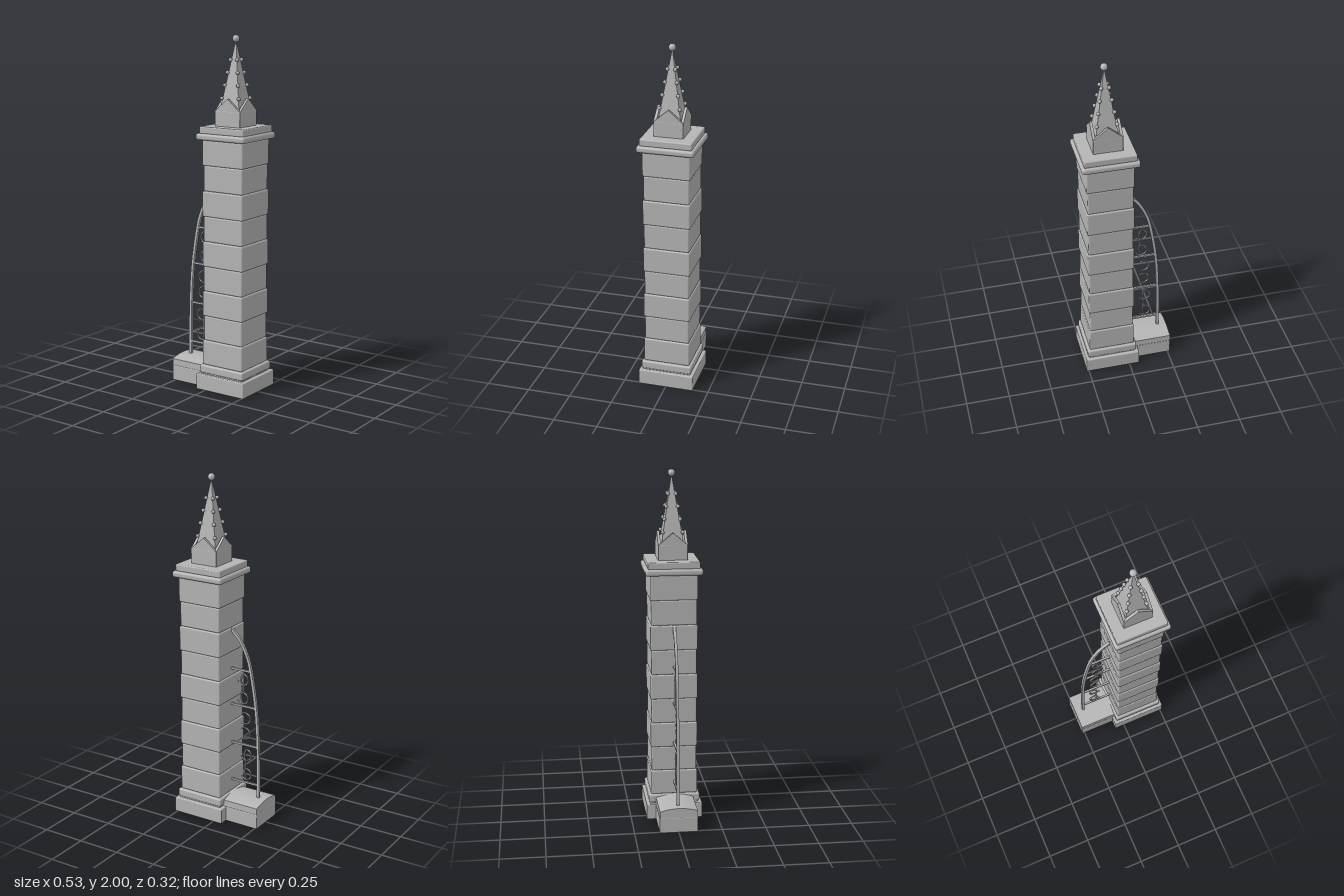
import * as THREE from 'three';
import { RoundedBoxGeometry } from 'three/addons/geometries/RoundedBoxGeometry.js';

const stone = new THREE.MeshStandardMaterial({ color: 0xb4b4b4 });
stone.name = 'greyStone';
const TX = 0.102; // tower axis

function add(parent, name, geometry, x = 0, y = 0, z = 0) {
  const m = new THREE.Mesh(geometry, stone);
  m.name = name;
  m.position.set(x, y, z);
  parent.add(m);
  return m;
}

// Square softened slab centred on the tower axis
function slab(parent, name, half, y0, y1, r) {
  add(parent, name, new RoundedBoxGeometry(half * 2, y1 - y0, half * 2, 2, r), 0, (y0 + y1) / 2, 0);
}

function tube(points, r, segments = 32) {
  const curve = new THREE.CatmullRomCurve3(points.map(([x, y]) => new THREE.Vector3(x, y, 0)));
  return new THREE.TubeGeometry(curve, segments, r, 6, false);
}

function extrude(shape, depth) {
  const g = new THREE.ExtrudeGeometry(shape, { depth, bevelEnabled: false, curveSegments: 12 });
  return g.translate(0, 0, -depth / 2);
}

function buildTower() {
  const tower = new THREE.Group();
  tower.name = 'tower';
  tower.position.x = TX;
  slab(tower, 'base', 0.161, 0, 0.091, 0.006);
  slab(tower, 'plinthNeck', 0.14, 0.085, 0.105, 0.004);
  slab(tower, 'plinth', 0.147, 0.098, 0.145, 0.01);

  // Alternating stone courses
  const y0 = 0.145, h = 1.285 / 9;
  for (let i = 0; i < 9; i++) {
    slab(tower, 'course' + (i + 1), i % 2 ? 0.129 : 0.134, y0 + i * h, y0 + (i + 1) * h, 0.008);
  }
  slab(tower, 'cornice', 0.161, 1.43, 1.467, 0.014);
  slab(tower, 'corniceTop', 0.146, 1.465, 1.505, 0.007);
  return tower;
}

function buildSpire() {
  const spire = new THREE.Group();
  spire.name = 'spire';
  spire.position.x = TX;
  slab(spire, 'spireBlock', 0.083, 1.5, 1.59, 0.004);

  // Four-sided pyramid
  const half = 0.063, base = 1.588, apex = 1.975;
  const cone = new THREE.ConeGeometry(half * Math.SQRT2, apex - base, 4).rotateY(Math.PI / 4).toNonIndexed();
  cone.computeVertexNormals();
  add(spire, 'pyramid', cone, 0, (base + apex) / 2, 0);

  // Gable on each side
  const gable = new THREE.Shape([[-0.083, 1.588], [0.083, 1.588], [0, 1.658]].map(p => new THREE.Vector2(...p)));
  const gableGeo = extrude(gable, 0.015).translate(0, 0, 0.0755);
  for (let i = 0; i < 4; i++) add(spire, 'gable', gableGeo).rotation.y = i * Math.PI / 2;

  // Crockets climbing the four ridges
  const ball = new THREE.SphereGeometry(0.0105, 14, 10);
  for (const y of [1.657, 1.728, 1.797, 1.866]) {
    const d = half * (apex - y) / (apex - base) + 0.004;
    for (const sx of [-1, 1]) for (const sz of [-1, 1]) add(spire, 'crocket', ball, sx * d, y, sz * d);
  }
  add(spire, 'finial', new THREE.SphereGeometry(0.02, 20, 14), 0, 1.98, 0);
  return spire;
}

function buildButtress() {
  const buttress = new THREE.Group();
  buttress.name = 'buttress';
  add(buttress, 'buttressBase', new RoundedBoxGeometry(0.235, 0.091, 0.218, 2, 0.005), -0.1475, 0.0455, 0);

  // Cap with a gently arched top
  const cap = new THREE.Shape();
  cap.moveTo(-0.107, 0.088);
  cap.lineTo(0.107, 0.088);
  cap.lineTo(0.107, 0.128);
  cap.quadraticCurveTo(0, 0.162, -0.107, 0.128);
  add(buttress, 'buttressCap', extrude(cap, 0.234).rotateY(Math.PI / 2), -0.147, 0, 0);

  // Curved rib of square section
  const path = new THREE.CatmullRomCurve3([
    [-0.211, 0.14], [-0.21, 0.3], [-0.205, 0.5], [-0.192, 0.68], [-0.164, 0.865],
    [-0.138, 0.975], [-0.085, 1.08], [-0.025, 1.14],
  ].map(([x, y]) => new THREE.Vector3(x, y, 0)));
  const pts = path.getPoints(32);
  const offset = s => pts.map((p, i) => {
    const t = path.getTangent(i / 32);
    return new THREE.Vector2(p.x - t.y * s, p.y + t.x * s);
  });
  const rib = new THREE.Shape([...offset(-0.008), ...offset(0.008).reverse()]);
  add(buttress, 'curvedRib', extrude(rib, 0.016));

  // Horizontal ties to the tower
  for (const [y, x0] of [[0.22, -0.211], [0.455, -0.206], [0.69, -0.19], [0.905, -0.155]]) {
    add(buttress, 'tieBar', new THREE.BoxGeometry(-0.02 - x0, 0.011, 0.011), (x0 - 0.02) / 2, y, 0);
  }

  // Scrollwork: paired open rings, stemmed in the outer panels
  const ring = new THREE.TorusGeometry(0.034, 0.005, 6, 24, Math.PI * 1.4);
  const panels = [[-0.127, 0.393, 0.272, true], [-0.118, 0.617, 0.524, false], [-0.103, 0.85, 0.737, true]];
  for (const [x, top, bottom, stemmed] of panels) {
    for (const y of [top, bottom]) {
      const upper = y === top;
      const start = stemmed ? (upper ? 0.5 : 0.45) : 0.3;
      add(buttress, 'scrollRing', ring, x, y, 0).rotation.z = Math.PI * start;
    }
    if (stemmed) {
      const stem = [[x, top + 0.034], [x + 0.011, top], [x + 0.004, (top + bottom) / 2],
        [x + 0.011, bottom + 0.01], [x, bottom - 0.034]];
      add(buttress, 'scrollStem', tube(stem, 0.005));
    }
  }
  return buttress;
}

export function createModel() {
  const model = new THREE.Group();
  model.name = 'buttressedTower';
  model.add(buildTower(), buildSpire(), buildButtress());
  return model;
}
